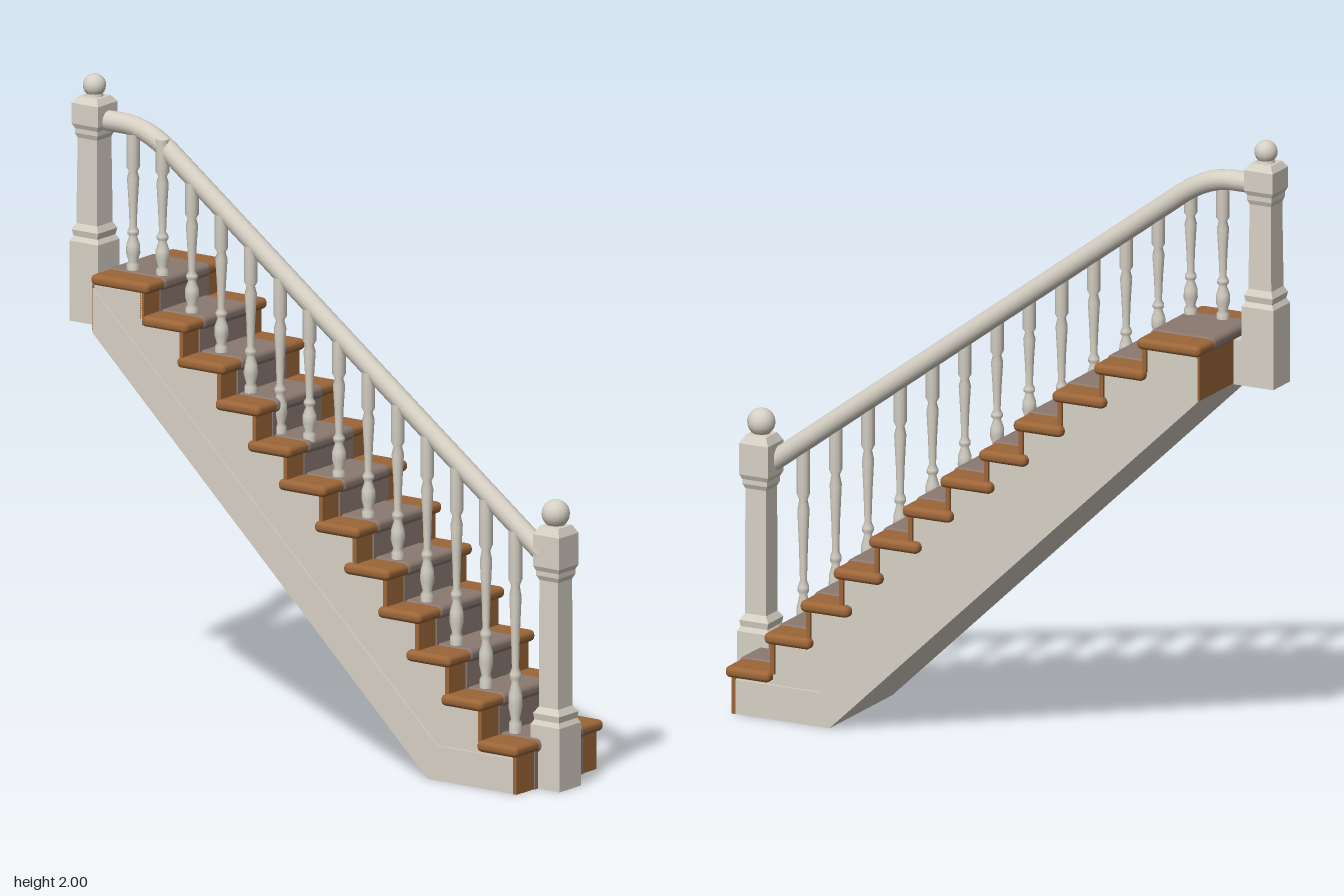
import * as THREE from 'three';
import { RoundedBoxGeometry } from 'three/addons/geometries/RoundedBoxGeometry.js';

const mat = (name, color) => {
  const m = new THREE.MeshStandardMaterial({ color });
  m.name = name;
  return m;
};

// Tread rows: front z, back z, top y
const STEPS = [
  [0.855, 0.70, 0.155], [0.72, 0.56, 0.28], [0.595, 0.425, 0.40], [0.48, 0.315, 0.52],
  [0.357, 0.183, 0.638], [0.24, 0.07, 0.753], [0.11, -0.07, 0.865], [-0.025, -0.19, 0.968],
  [-0.145, -0.315, 1.08], [-0.28, -0.463, 1.192], [-0.425, -0.60, 1.30], [-0.575, -0.795, 1.402],
];
const THICK = 0.036, INSET = 0.014;

export function createModel() {
  const group = new THREE.Group();
  group.name = 'staircase';
  const white = mat('paintedWhite', 0xd6d0c4);
  const wood = mat('stainedWood', 0x9c6638);
  const carpet = mat('carpet', 0x8a7970);

  const add = (name, geo, material, x = 0, y = 0, z = 0, parent = group) => {
    const mesh = new THREE.Mesh(geo, material);
    mesh.name = name;
    mesh.position.set(x, y, z);
    parent.add(mesh);
    return mesh;
  };
  // Box given by its minimum and maximum on each axis
  const span = (name, material, x0, x1, y0, y1, z0, z1, r = 0) => {
    const s = [x1 - x0, y1 - y0, z1 - z0];
    const geo = r ? new RoundedBoxGeometry(...s, 3, r) : new THREE.BoxGeometry(...s);
    return add(name, geo, material, (x0 + x1) / 2, (y0 + y1) / 2, (z0 + z1) / 2);
  };
  // Side profile of [z, y] points, extruded across x
  const sideProfile = (name, points, x0, x1) => {
    const shape = new THREE.Shape(points.map(([z, y]) => new THREE.Vector2(-z, y)));
    const geo = new THREE.ExtrudeGeometry(shape, { depth: x1 - x0, bevelEnabled: false });
    geo.rotateY(Math.PI / 2);
    return add(name, geo, white, x0);
  };

  // Stepped body with a sloping underside
  const profile = [[-0.78, 1.22], [0.5, 0], [0.835, 0]];
  STEPS.forEach(([front, , top], i) => {
    const next = STEPS[i + 1];
    profile.push([front - INSET - 0.006, top - THICK + 0.004]);
    profile.push([next ? next[0] - INSET - 0.006 : -0.78, top - THICK + 0.004]);
  });
  sideProfile('stairBody', profile, -0.2, 0.195);

  // Raised trim along the lower edge of both sides
  const trim = [[0.835, 0], [0.835, 0.11], [0.535, 0.11], [-0.78, 1.36], [-0.78, 1.22], [0.5, 0]];
  sideProfile('stringerTrimRight', trim, -0.207, -0.199);
  sideProfile('stringerTrimLeft', trim, 0.194, 0.203);

  // Treads, risers and the carpet runner
  STEPS.forEach(([front, back, top], i) => {
    const t = i / (STEPS.length - 1);
    const left = 0.226 - 0.005 * t, right = -0.23 + 0.028 * t;
    const floor = i ? STEPS[i - 1][2] - 0.01 : 0;
    const face = front - INSET;
    span('tread', wood, right, left, top - THICK, top, back, front, 0.016);
    span('riser', wood, -0.208 + 0.008 * t, 0.204, floor, top - THICK + 0.006, face - 0.014, face);
    span('carpetTread', carpet, -0.12, 0.13, top - THICK - 0.003, top + 0.004, back - 0.002, front + 0.004, 0.018);
    span('carpetRiser', carpet, -0.12, 0.13, floor, top - THICK + 0.006, face - 0.005, face + 0.005);
  });
  span('backPanel', wood, -0.2, 0.2, 1.225, 1.37, -0.787, -0.778);

  // Newel posts: square turned shaft with a ball on top
  const newel = (name, x, z, profilePoints, ballY, ballR) => {
    const post = new THREE.Group();
    post.name = name;
    post.position.set(x, 0, z);
    group.add(post);
    const pts = profilePoints.map(([h, y]) => new THREE.Vector2(h * Math.SQRT2, y));
    const geo = new THREE.LatheGeometry(pts, 4, Math.PI / 4).toNonIndexed();
    geo.computeVertexNormals();
    add('newelPost', geo, white, 0, 0, 0, post);
    add('newelBall', new THREE.SphereGeometry(ballR, 16, 12), white, 0, ballY, 0, post);
    add('newelNeck', new THREE.CylinderGeometry(0.024, 0.036, 0.05, 14), white, 0, ballY - ballR - 0.005, 0, post);
  };
  newel('bottomNewel', -0.05, 0.873, [
    [0, 0], [0.055, 0], [0.055, 0.2], [0.047, 0.215], [0.05, 0.235], [0.037, 0.255],
    [0.036, 0.655], [0.043, 0.67], [0.043, 0.685], [0.05, 0.70], [0.05, 0.80], [0.036, 0.825], [0, 0.828],
  ], 0.863, 0.044);
  newel('topNewel', -0.075, -0.87, [
    [0, 1.222], [0.055, 1.222], [0.055, 1.475], [0.046, 1.49], [0.05, 1.51], [0.04, 1.53],
    [0.037, 1.80], [0.043, 1.815], [0.043, 1.83], [0.05, 1.845], [0.05, 1.91], [0.036, 1.93], [0, 1.932],
  ], 1.964, 0.036);
  span('topNewelFoot', white, -0.13, -0.02, 1.222, 1.365, -0.87, -0.782);

  // Handrail: straight slope easing into a level end
  const v = (z, y, x = -0.07) => new THREE.Vector3(x, y, z);
  const path = new THREE.CurvePath();
  path.add(new THREE.LineCurve3(v(0.84, 0.737), v(-0.58, 1.79)));
  path.add(new THREE.QuadraticBezierCurve3(v(-0.58, 1.79), v(-0.672, 1.858), v(-0.76, 1.858)));
  path.add(new THREE.LineCurve3(v(-0.76, 1.858), v(-0.85, 1.858)));
  add('handrail', new THREE.TubeGeometry(path, 60, 0.032, 14), white);

  // Turned balusters, stretched from tread to rail: [radius, share of height]
  const turning = [
    [0.02, 0], [0.02, 0.06], [0.014, 0.08], [0.022, 0.14], [0.021, 0.2], [0.012, 0.26], [0.018, 0.28],
    [0.018, 0.3], [0.011, 0.33], [0.014, 0.5], [0.019, 0.68], [0.013, 0.73], [0.021, 0.76], [0.021, 1],
  ];
  const railY = (z) => z > -0.6 ? 0.737 + (0.84 - z) * 0.7415 : 1.845;
  const COUNT = 14;
  for (let i = 0; i < COUNT; i++) {
    const z = 0.745 - (1.46 * i) / (COUNT - 1);
    const under = STEPS.filter(([front]) => front - 0.01 > z).pop();
    const y0 = under[2] - 0.005, h = railY(z) - 0.01 - y0;
    const pts = turning.map(([r, s]) => new THREE.Vector2(r, s * h));
    add('baluster', new THREE.LatheGeometry(pts, 10), white, -0.085, y0, z);
  }
  return group;
}
